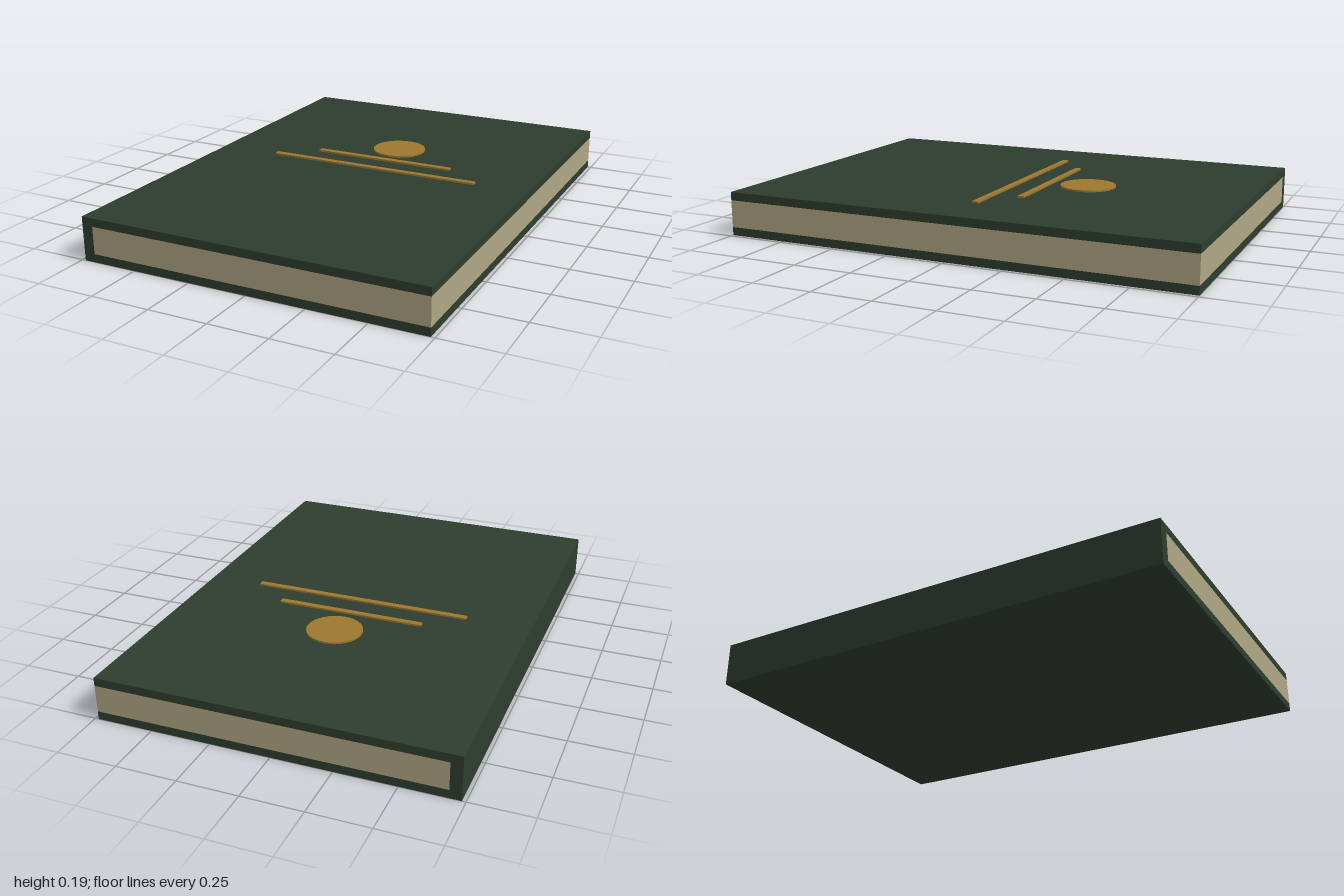
import * as THREE from 'three';

export function createModel() {
  const book = new THREE.Group();
  book.name = 'book';

  const material = (name, color) => {
    const m = new THREE.MeshStandardMaterial({ color });
    m.name = name;
    return m;
  };
  const green = material('dark green cloth', 0x2e3d2f);
  const cream = material('cream paper', 0xb0a683);
  const gold = material('old gold', 0x9c782f);

  const add = (name, geometry, mat, x, y, z) => {
    const mesh = new THREE.Mesh(geometry, mat);
    mesh.name = name;
    mesh.position.set(x, y, z);
    book.add(mesh);
  };
  // Box given by its limits on each axis
  const box = (name, mat, [x0, x1], [y0, y1], [z0, z1]) =>
    add(name, new THREE.BoxGeometry(x1 - x0, y1 - y0, z1 - z0), mat,
      (x0 + x1) / 2, (y0 + y1) / 2, (z0 + z1) / 2);

  const W = 0.735, H = 0.185, board = 0.035, spine = 0.047;
  const inner = [board, H - board], depth = [-1, 1];

  // Cover boards, spine and page block
  box('backCover', green, [-W, W], [0, board], depth);
  box('frontCover', green, [-W, W], [H - board, H], depth);
  box('spine', green, [-W, -W + spine], inner, depth);
  box('pages', cream, [-W + spine, W], inner, depth);

  // Raised gilt ornaments on the front cover
  const t = 0.008;
  add('giltDisc', new THREE.CylinderGeometry(0.118, 0.118, t, 32), gold, 0.022, H + t / 2, -0.315);
  box('shortGiltBar', gold, [-0.299, 0.341], [H, H + t], [-0.158, -0.131]);
  box('longGiltBar', gold, [-0.458, 0.501], [H, H + t], [-0.032, -0.005]);

  return book;
}
